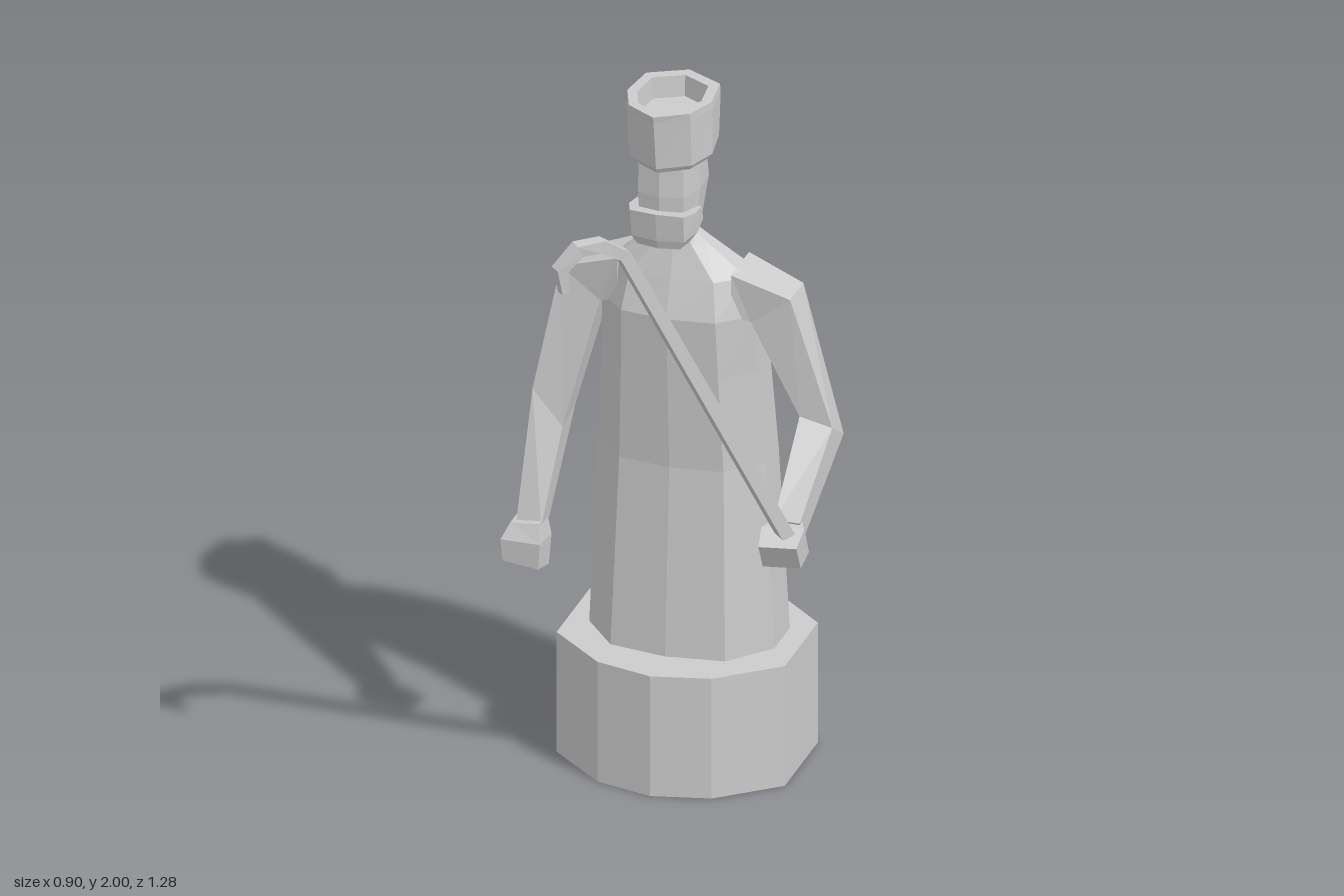
import * as THREE from 'three';

const grey = new THREE.MeshStandardMaterial({ color: 0xcccccc, flatShading: true, side: THREE.DoubleSide });
const CX = -0.02; // x of the figure's centre line

// Skins a list of equal-length rings of Vector3 and closes both ends.
function loft(name, rings) {
  const n = rings[0].length;
  const tris = [];
  for (let r = 0; r < rings.length - 1; r++) {
    for (let i = 0; i < n; i++) {
      const j = (i + 1) % n;
      const a = rings[r][i], b = rings[r][j], c = rings[r + 1][j], d = rings[r + 1][i];
      tris.push([a, b, c], [a, c, d]);
    }
  }
  const first = rings[0], last = rings[rings.length - 1];
  for (let i = 1; i < n - 1; i++) {
    tris.push([first[0], first[i + 1], first[i]], [last[0], last[i], last[i + 1]]);
  }
  // Turn the faces outward whichever way the rings run
  const cross = new THREE.Vector3();
  let volume = 0;
  for (const [a, b, c] of tris) volume += a.dot(cross.crossVectors(b, c));
  const pts = tris.flatMap(([a, b, c]) => (volume < 0 ? [a, c, b] : [a, b, c]));
  const geo = new THREE.BufferGeometry().setFromPoints(pts);
  geo.computeVertexNormals();
  const mesh = new THREE.Mesh(geo, grey);
  mesh.name = name;
  return mesh;
}

// Symmetric horizontal ring: half outline [x fraction, depth fraction] from front to back.
function ring(half, y, w, front, back, tilt = 0) {
  const side = half.map(([x, t]) =>
    new THREE.Vector3(CX + x * w, y + tilt * (0.5 - t), front + (back - front) * t));
  const other = side.slice(1, -1).reverse().map((p) => new THREE.Vector3(2 * CX - p.x, p.y, p.z));
  return [...side, ...other];
}

// Four-cornered ring about a centre, with half-axes u and v.
function quad(c, u, v) {
  const C = new THREE.Vector3(...c), U = new THREE.Vector3(...u), V = new THREE.Vector3(...v);
  return [[1, 1], [-1, 1], [-1, -1], [1, -1]].map(([a, b]) =>
    C.clone().addScaledVector(U, a).addScaledVector(V, b));
}

export function createModel() {
  const model = new THREE.Group();
  model.name = 'figureWithCane';

  // Ten-sided plinth
  const plinth = [[0, 0], [0.5, 0.06], [1, 0.27], [1, 0.7], [0.5, 0.915], [0, 1]];
  model.add(loft('base', [0, 0.355].map((y) => ring(plinth, y, 0.32, -0.005, -0.645))));

  // Robe, narrowing over the shoulders into the neck
  const robe = [[0, 0], [0.62, 0.06], [1, 0.36], [1, 0.7], [0.62, 0.93], [0, 1]];
  model.add(loft('robe', [
    [0.34, 0.26, -0.13, -0.517],
    [0.9, 0.236, -0.165, -0.467],
    [1.18, 0.22, -0.15, -0.442],
    [1.35, 0.213, -0.14, -0.41],
    [1.455, 0.19, -0.172, -0.375],
    [1.545, 0.08, -0.2, -0.315],
    [1.57, 0.055, -0.205, -0.295],
  ].map((s) => ring(robe, ...s))));

  // Neck
  model.add(loft('neck', [
    [1.53, 0.06, -0.2, -0.3],
    [1.59, 0.043, -0.21, -0.28],
    [1.66, 0.05, -0.19, -0.28],
  ].map((s) => ring(robe, ...s))));

  // Head
  const skull = [[0, 0], [0.75, 0.06], [1, 0.35], [0.95, 0.68], [0.5, 0.93], [0, 1]];
  model.add(loft('head', [
    [1.6, 0.055, -0.1, -0.24],
    [1.645, 0.078, -0.085, -0.29],
    [1.74, 0.086, -0.08, -0.335],
    [1.85, 0.083, -0.085, -0.305],
  ].map((s) => ring(skull, ...s))));

  // Beard jutting from the chin
  const jaw = [[0, 0], [0.8, 0.08], [1, 0.5], [0.95, 1], [0, 1]];
  model.add(loft('beard', [
    [1.605, 0.075, -0.068, -0.17, -0.02],
    [1.63, 0.092, -0.06, -0.19, -0.02],
    [1.695, 0.094, -0.05, -0.17, 0.015],
  ].map((s) => ring(jaw, ...s))));

  // Flared hat with a sunken crown
  const brim = [[0, 0], [0.72, 0.17], [1, 0.45], [0.88, 0.82], [0, 1]];
  model.add(loft('hat', [
    [1.83, 0.108, -0.065, -0.315, -0.02],
    [1.845, 0.118, -0.055, -0.32, -0.02],
    [1.98, 0.12, -0.035, -0.335],
    [2.0, 0.118, -0.03, -0.335],
    [2.0, 0.09, -0.06, -0.3],
    [1.94, 0.085, -0.065, -0.295],
  ].map((s) => ring(brim, ...s))));

  // Shoulder sections shared by both arms; s is -1 for the right, 1 for the left
  const shoulder = (s) => [
    quad([CX + s * 0.16, 1.415, -0.28], [0, 0.06, 0], [0, 0, 0.075]),
    quad([CX + s * 0.267, 1.38, -0.272], [s * 0.055, 0.042, 0], [0, 0, 0.055]),
  ];

  // Right arm hanging at the side
  model.add(loft('rightArm', [
    ...shoulder(-1),
    quad([-0.363, 1.03, -0.225], [-0.042, 0.05, 0], [0, -0.01, 0.055]),
    quad([-0.386, 0.71, -0.115], [-0.035, 0, 0], [0, 0, 0.035]),
  ]));
  model.add(loft('rightHand', [
    quad([-0.392, 0.722, -0.1], [-0.04, -0.004, 0], [0, 0, 0.035]),
    quad([-0.397, 0.67, -0.092], [-0.055, 0, 0], [0, 0.006, 0.05]),
    quad([-0.397, 0.595, -0.09], [-0.05, 0.006, 0], [0, 0.012, 0.045]),
  ]));

  // Left arm bent forward
  model.add(loft('leftArm', [
    ...shoulder(1),
    quad([0.383, 1.055, -0.238], [0.046, -0.01, 0], [0, 0.03, 0.047]),
    quad([0.392, 0.885, 0.065], [0.036, 0, 0], [0, 0.032, 0.012]),
  ]));
  model.add(loft('leftHand', [
    quad([0.388, 0.882, 0.05], [0.04, 0, -0.01], [0, 0.03, 0.015]),
    quad([0.39, 0.868, 0.085], [0.056, 0, -0.012], [0, 0.043, 0.02]),
    quad([0.396, 0.845, 0.15], [0.05, 0, -0.01], [0, 0.037, 0.018]),
  ]));

  // Cane: square bar swept along a hooked path
  const path = [
    [0.425, 0.83, 0.09], [0.07, 1.85, 0.485], [0.025, 1.897, 0.54],
    [-0.025, 1.895, 0.58], [-0.063, 1.845, 0.615], [-0.055, 1.775, 0.605],
  ].map((p) => new THREE.Vector3(...p));
  const across = new THREE.Vector3(0.75, 0, 0.66); // sideways to the hook's plane
  model.add(loft('cane', path.map((p, i) => {
    const along = path[Math.min(i + 1, 5)].clone().sub(path[Math.max(i - 1, 0)]).normalize();
    const u = across.clone().addScaledVector(along, -across.dot(along)).normalize();
    const v = new THREE.Vector3().crossVectors(along, u);
    const r = [0.019, 0.017, 0.018, 0.018, 0.017, 0.011][i];
    return quad(p.toArray(), u.multiplyScalar(r).toArray(), v.multiplyScalar(r).toArray());
  })));

  return model;
}
